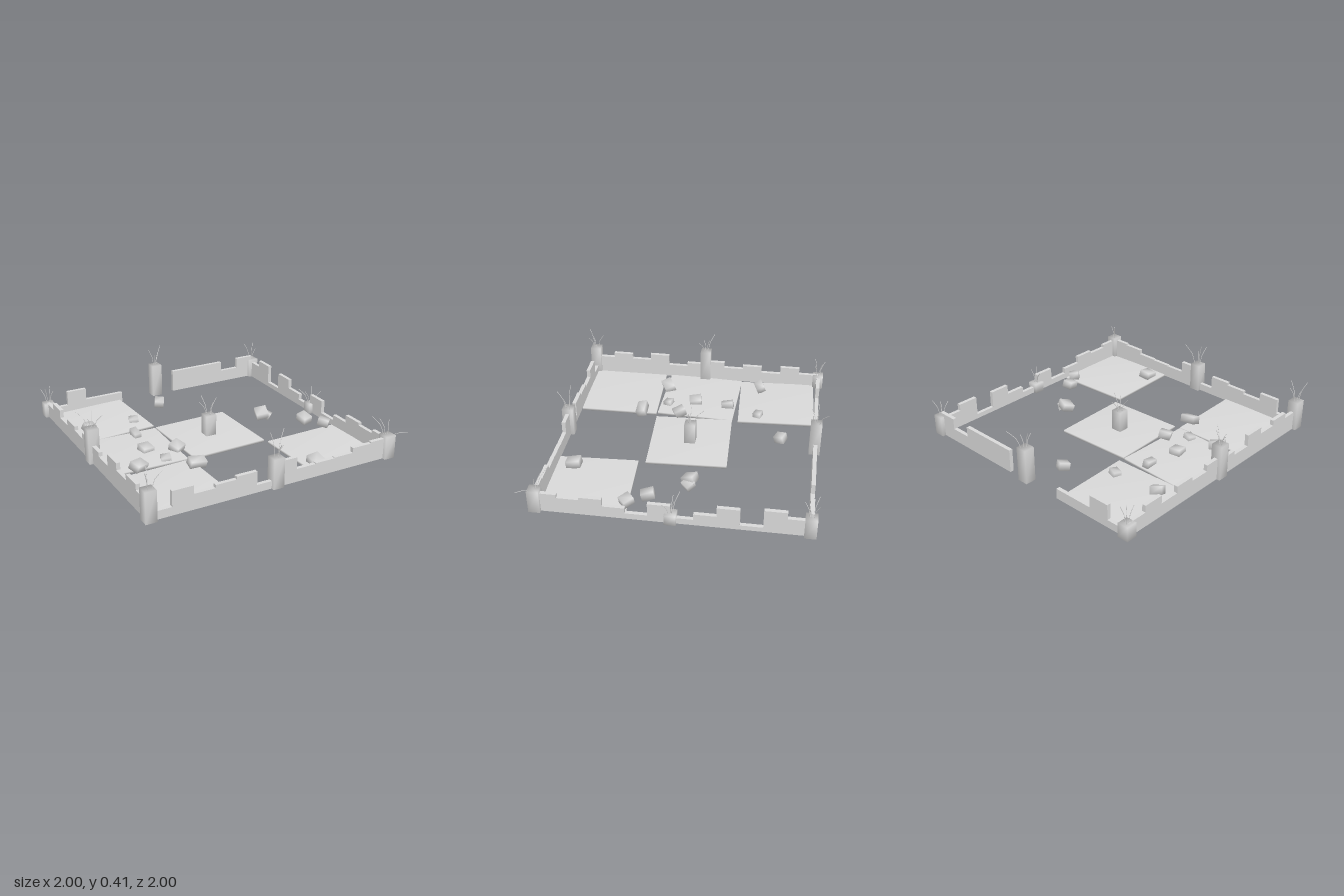
import * as THREE from 'three';
import { mergeVertices } from 'three/addons/utils/BufferGeometryUtils.js';

const BASE = 0.025;
const GRID = [-0.916, -0.006, 0.904]; // pillar lines, same along x and z
const STEP = 0.1517; // length of one wall block
const THICK = 0.028;

// Pillars: [column, row, top height, rods as [dx, dz, rise]]
const PILLARS = [
  [0, 0, 0.13, [[-0.04, -0.05, 0.1], [0.03, -0.03, 0.12], [-0.03, 0.03, 0.13], [0.035, 0.03, 0.1]]],
  [1, 0, 0.28, [[0.085, -0.08, 0.12], [-0.05, -0.01, 0.13], [-0.02, 0.04, 0.1], [0.03, -0.01, 0.09]]],
  [2, 0, 0.175, [[-0.05, -0.04, 0.13], [0.04, -0.045, 0.12], [-0.02, 0.05, 0.1], [0.03, 0.02, 0.09]]],
  [0, 1, 0.28, [[-0.08, -0.06, 0.11], [0.07, 0.05, 0.1], [-0.03, 0.02, 0.08], [0.02, -0.03, 0.11]]],
  [1, 1, 0.19, [[-0.08, 0, 0.11], [0.06, 0.005, 0.12], [-0.01, -0.1, 0.11], [0.02, 0.03, 0.1]]],
  [2, 1, 0.1, [[0.05, 0.05, 0.1], [-0.06, -0.01, 0.1], [-0.09, -0.05, 0.11], [0.02, -0.03, 0.12]]],
  [0, 2, 0.245, [[-0.045, 0.06, 0.14], [0.02, -0.07, 0.12], [0.08, 0.04, 0.12], [-0.02, 0.02, 0.07]]],
  [1, 2, 0.24, [[0.09, -0.06, 0.16], [-0.015, 0.08, 0.12], [-0.04, -0.02, 0.17], [0.03, 0.03, 0.09]]],
  [2, 2, 0.195, [[0.095, 0.095, 0.03], [-0.08, -0.08, 0.12], [-0.04, -0.05, 0.11], [0.02, -0.02, 0.1]]],
];

// Top height of each broken wall block, 0 where the wall is missing
const WALLS = {
  backWall: [0.08, 0.19, 0.1, 0.1, 0, 0, 0, 0.195, 0.195, 0.195, 0.12, 0.2],
  frontWall: [0.085, 0.195, 0.136, 0.158, 0.178, 0.08, 0.205, 0.12, 0.125, 0.13, 0.165, 0.175],
  leftWall: [0.15, 0.2, 0.06, 0.185, 0.115, 0.07, 0.165, 0.07, 0.11, 0.165, 0.145, 0.17],
  rightWall: [0.13, 0.18, 0.12, 0.17, 0.14, 0.185, 0.16, 0.13, 0.215, 0.165, 0.205, 0.165],
};

// Floor slabs: [x, z, turn, tilt x, tilt z]
const SLABS = [
  [-0.606, -0.606, 0.045, 0.008, 0.01],
  [-0.611, -0.006, -0.037, -0.008, 0.006],
  [-0.003, -0.006, 0.038, 0.006, -0.006],
  [-0.606, 0.602, 0.025, -0.006, 0.008],
  [0.602, 0.602, 0.04, 0.008, -0.008],
];

// Rubble: [x, z, width, depth, turn, height of centre, tilt]
const RUBBLE = [
  [-0.765, -0.46, 0.085, 0.065, 0.3, 0.07, 0.4],
  [-0.4, -0.475, 0.07, 0.06, -0.3, 0.04, 0.15],
  [-0.095, -0.665, 0.07, 0.075, -0.45, 0.06, 0.25],
  [-0.495, -0.23, 0.05, 0.09, 0.05, 0.05, 0.2],
  [-0.53, 0.025, 0.085, 0.09, 0.15, 0.045, 0.15],
  [-0.335, 0.125, 0.085, 0.085, 0.5, 0.06, 0.3],
  [-0.695, 0.268, 0.11, 0.08, 0.45, 0.06, 0.3],
  [-0.472, 0.23, 0.07, 0.06, -0.25, 0.04, 0.2],
  [-0.328, 0.415, 0.12, 0.07, -0.05, 0.065, 0.3],
  [0.49, -0.075, 0.09, 0.09, -0.25, 0.07, 0.35],
  [0.53, -0.07, 0.07, 0.07, 0.75, 0.05, 0.4],
  [0.71, 0.18, 0.075, 0.09, 0.2, 0.08, 0.25],
  [0.795, 0.31, 0.075, 0.08, 0.75, 0.08, 0.2],
  [0.405, 0.77, 0.09, 0.1, 0.05, 0.055, 0.2],
];

// Box whose faces share their corner normals, for softly shaded stone
function softBox(w, h, d) {
  const box = new THREE.BoxGeometry(w, h, d);
  box.deleteAttribute('normal');
  box.deleteAttribute('uv');
  const merged = mergeVertices(box);
  merged.computeVertexNormals();
  return merged;
}

export function createModel() {
  const model = new THREE.Group();
  model.name = 'ruinedBuilding';
  const concrete = new THREE.MeshStandardMaterial({ name: 'pale concrete', color: 0xd8d8d8 });

  const addGroup = (name) => {
    const group = new THREE.Group();
    group.name = name;
    model.add(group);
    return group;
  };
  const addPart = (parent, name, geometry, x = 0, y = 0, z = 0) => {
    const mesh = new THREE.Mesh(geometry, concrete);
    mesh.name = name;
    mesh.position.set(x, y, z);
    parent.add(mesh);
    return mesh;
  };

  // Broken pillars with bent reinforcing rods
  const pillars = addGroup('pillars');
  for (const [col, row, top, rods] of PILLARS) {
    const x = GRID[col], z = GRID[row];
    addPart(pillars, 'pillar', softBox(0.08, top - BASE, 0.08), x, (top + BASE) / 2, z);
    for (const [dx, dz, rise] of rods) {
      const path = new THREE.CatmullRomCurve3([
        new THREE.Vector3(x + dx * 0.25, top - 0.01, z + dz * 0.25),
        new THREE.Vector3(x + dx * 0.45, top + rise * 0.5, z + dz * 0.45),
        new THREE.Vector3(x + dx, top + rise, z + dz),
      ]);
      addPart(pillars, 'reinforcingRod', new THREE.TubeGeometry(path, 4, 0.002, 5));
    }
  }

  // Stepped remains of the four walls; blocks run from low to high x or z
  for (const [name, tops] of Object.entries(WALLS)) {
    const wall = addGroup(name);
    const alongX = name === 'backWall' || name === 'frontWall';
    // the model's left is +x
    const line = name === 'backWall' || name === 'rightWall' ? GRID[0] : GRID[2];
    tops.forEach((top, i) => {
      if (!top) return;
      const h = top - BASE, y = BASE + h / 2, s = GRID[0] + (i + 0.5) * STEP;
      if (alongX) addPart(wall, 'wallBlock', new THREE.BoxGeometry(STEP, h, THICK), s, y, line);
      else addPart(wall, 'wallBlock', new THREE.BoxGeometry(THICK, h, STEP), line, y, s);
    });
  }

  // Shifted floor slabs
  const floor = addGroup('floor');
  for (const [x, z, turn, tiltX, tiltZ] of SLABS) {
    const slab = addPart(floor, 'floorSlab', softBox(0.58, 0.018, 0.58), x, 0.026, z);
    slab.rotation.set(tiltX, turn, tiltZ, 'YXZ');
  }

  // Scattered rubble
  const rubble = addGroup('rubble');
  RUBBLE.forEach(([x, z, w, d, turn, y, tilt], i) => {
    const chunk = addPart(rubble, 'rubbleChunk', softBox(w, 0.055, d), x, y, z);
    chunk.rotation.set(tilt, turn, i % 2 ? tilt * 0.5 : -tilt * 0.5, 'YXZ');
  });

  return model;
}
